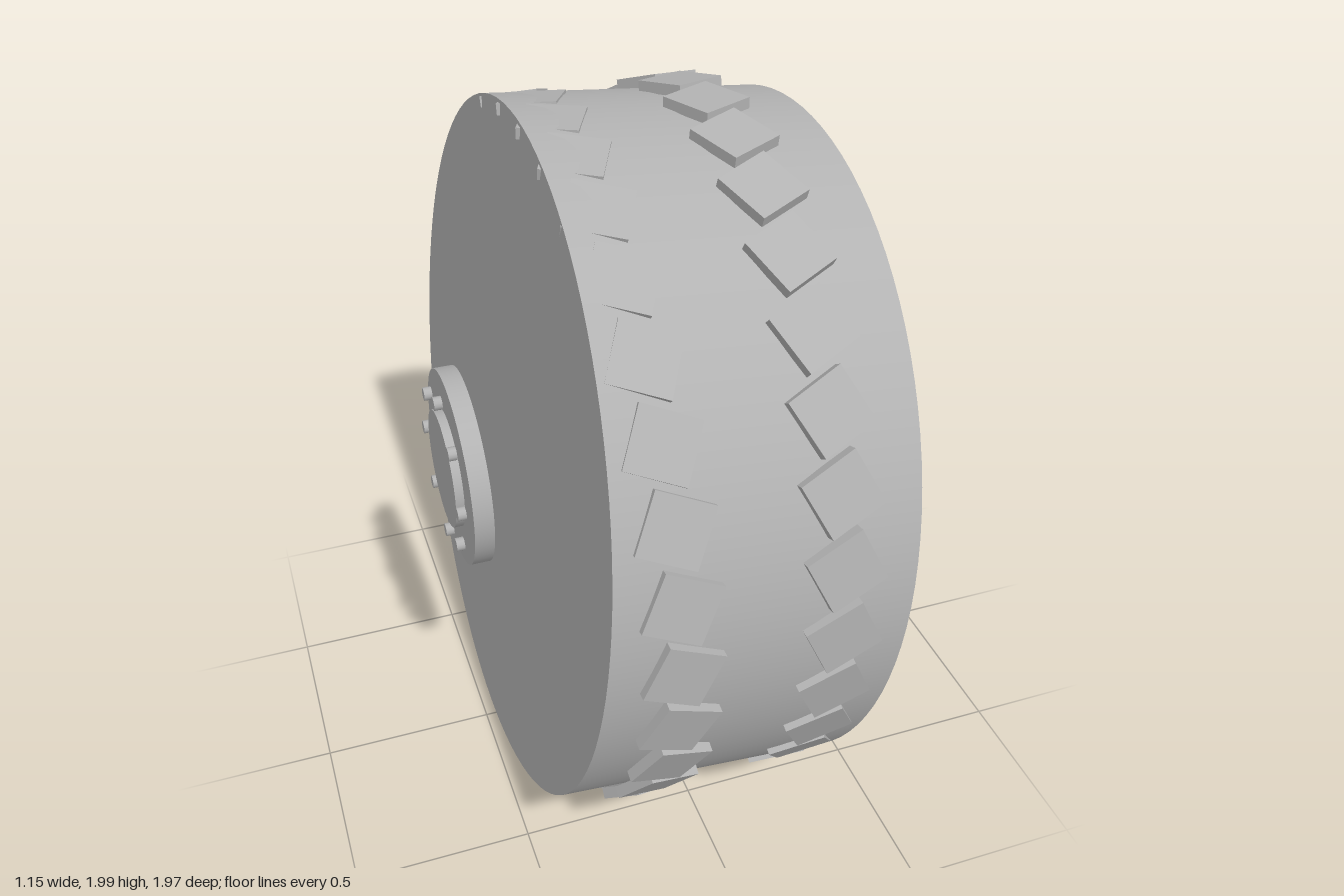
import * as THREE from 'three';

const CX = -0.01, CY = 1.002; // wheel centre

export function createModel() {
  const group = new THREE.Group();
  const grey = new THREE.MeshStandardMaterial({ color: 0xb2b2b2 });
  grey.name = 'grey';

  function add(name, geometry, parent = group) {
    const mesh = new THREE.Mesh(geometry, grey);
    mesh.name = name;
    parent.add(mesh);
    return mesh;
  }

  // Disc lying along the x axis
  function disc(radius, width, sides) {
    return new THREE.CylinderGeometry(radius, radius, width, sides).rotateZ(Math.PI / 2);
  }

  // Drum, slightly tilted against the tread rings
  const drum = add('tireDrum', disc(0.964, 0.769, 96));
  drum.position.set(CX, CY, 0);
  drum.rotation.z = -0.0925;

  // Two herringbone rings of square tread blocks
  const blockGeometry = new THREE.BoxGeometry(0.155, 0.155, 0.03);
  const blockCount = 32;
  for (const side of [-1, 1]) {
    const ring = new THREE.Group();
    ring.name = side < 0 ? 'rightTreadRing' : 'leftTreadRing';
    ring.position.set(CX + side * 0.203, CY, 0);
    group.add(ring);
    for (let i = 0; i < blockCount; i++) {
      const spoke = new THREE.Group();
      spoke.name = 'treadSpoke';
      spoke.rotation.x = (i / blockCount) * Math.PI * 2;
      ring.add(spoke);
      const block = add('treadBlock', blockGeometry, spoke);
      block.position.z = 0.97;
      block.rotation.z = side * THREE.MathUtils.degToRad(25);
    }
  }

  // Hub on each side: flange, raised cap and a circle of bolts
  const flangeGeometry = disc(0.279, 0.055, 64);
  const capGeometry = disc(0.168, 0.026, 48);
  const boltGeometry = disc(0.019, 0.023, 12);
  for (const side of [-1, 1]) {
    const hub = new THREE.Group();
    hub.name = side < 0 ? 'rightHub' : 'leftHub';
    hub.position.set(CX, CY, 0);
    group.add(hub);
    add('hubFlange', flangeGeometry, hub).position.x = side * 0.504;
    add('hubCap', capGeometry, hub).position.x = side * 0.543;
    for (let i = 0; i < 8; i++) {
      const a = (i / 8) * Math.PI * 2;
      add('hubBolt', boltGeometry, hub).position.set(
        side * 0.562 - CX, Math.cos(a) * 0.217, Math.sin(a) * 0.217);
    }
  }

  return group;
}
